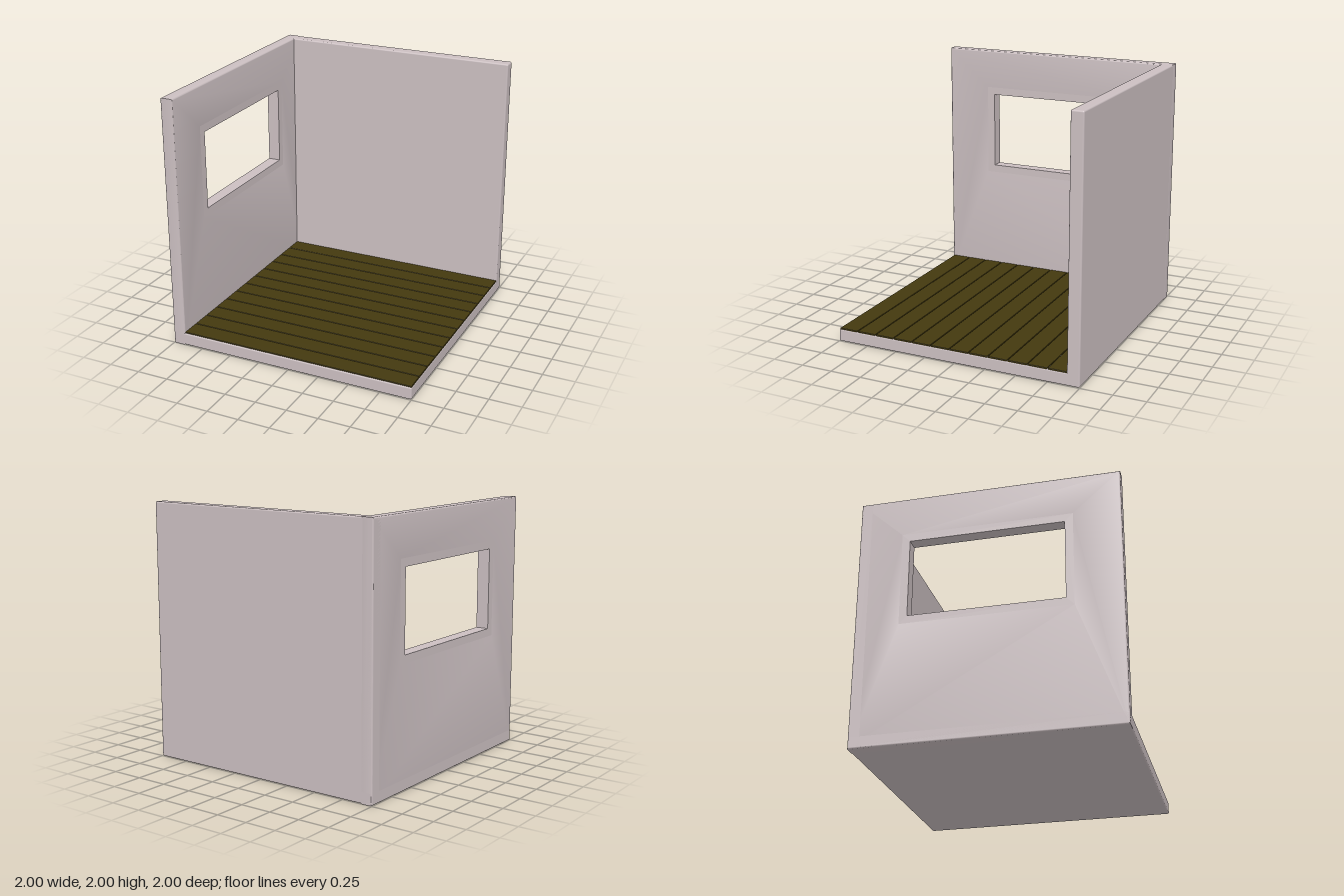
import * as THREE from 'three';
import { RoundedBoxGeometry } from 'three/addons/geometries/RoundedBoxGeometry.js';
import { toCreasedNormals } from 'three/addons/utils/BufferGeometryUtils.js';

const T = 0.1;        // wall and floor thickness
const R = 0.012;      // softened edge radius
const WINDOW = { z0: -0.6, z1: 0.58, y0: 1.0, y1: 1.625 };

const wallMaterial = new THREE.MeshStandardMaterial({ color: 0xcbbfc1 });
const woodMaterial = new THREE.MeshStandardMaterial({ color: 0x43390f });

// Rectangle in the (z, y) plane, grown by m on every side
function rect(Type, { z0, z1, y0, y1 }, m = 0) {
  return new Type([
    new THREE.Vector2(z0 - m, y0 - m), new THREE.Vector2(z1 + m, y0 - m),
    new THREE.Vector2(z1 + m, y1 + m), new THREE.Vector2(z0 - m, y1 + m),
  ]);
}

// Panel of thickness T with one opening, standing along z at the left edge
function sidePanel(name, outer, hole, bevel) {
  outer.holes.push(hole);
  const geo = new THREE.ExtrudeGeometry(outer, {
    depth: T - 2 * bevel, bevelEnabled: bevel > 0, bevelThickness: bevel,
    bevelSize: bevel, bevelOffset: -bevel, bevelSegments: 3,
  });
  geo.translate(0, 0, bevel).rotateY(-Math.PI / 2).translate(T - 1, 0, 0);
  const mesh = new THREE.Mesh(toCreasedNormals(geo, 0.7), wallMaterial);
  mesh.name = name;
  return mesh;
}

function roundedBox(name, size, center, radius, material) {
  const mesh = new THREE.Mesh(new RoundedBoxGeometry(...size, 3, radius), material);
  mesh.position.set(...center);
  mesh.name = name;
  return mesh;
}

export function createModel() {
  const room = new THREE.Group();
  room.name = 'roomCorner';

  // Floor slab and back wall
  room.add(roundedBox('floorSlab', [2, T, 2], [0, T / 2, 0], R, wallMaterial));
  room.add(roundedBox('backWall', [2, 2, T], [0, 1, T / 2 - 1], R, wallMaterial));

  // Window wall: soft outer edges, with a flush sharp-edged surround filling its opening
  const margin = 0.05;
  const side = { z0: -1, z1: 1, y0: 0, y1: 2 };
  room.add(sidePanel('windowWall', rect(THREE.Shape, side), rect(THREE.Path, WINDOW, margin), R));
  room.add(sidePanel('windowSurround', rect(THREE.Shape, WINDOW, margin + R), rect(THREE.Path, WINDOW), 0));

  // Floorboards running along x, with narrow gaps
  const boards = new THREE.Group();
  boards.name = 'floorboards';
  const count = 12, start = -0.908, end = 0.994, pitch = (end - start) / count;
  for (let i = 0; i < count; i++) {
    boards.add(roundedBox(`floorboard${i + 1}`, [1.9, 0.02, pitch - 0.005],
      [0.046, 0.098, start + (i + 0.5) * pitch], 0.004, woodMaterial));
  }
  room.add(boards);
  return room;
}
